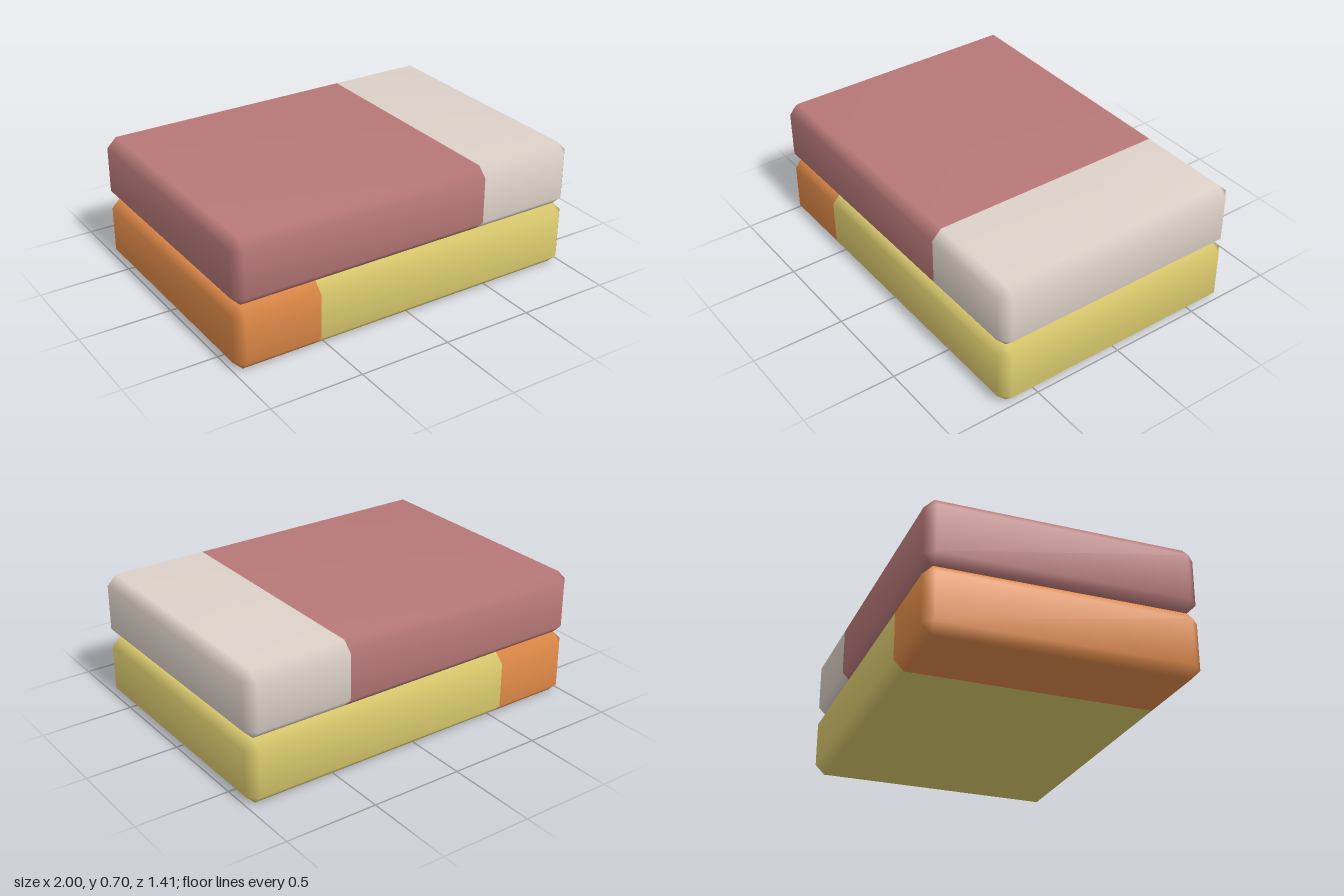
import * as THREE from 'three';

const HALF_X = 1, HALF_Y = 0.17625, HALF_Z = 0.705, BEVEL = 0.052;

const flat = (name, color) => {
  const m = new THREE.MeshStandardMaterial({ color });
  m.name = name;
  return m;
};

// Bevelled slab with shared smooth normals, two-coloured either side of splitX
function bevelledSlab(splitX) {
  const y = HALF_Y - BEVEL, z = HALF_Z - BEVEL;
  const corners = [[y, z], [-y, z], [-y, -z], [y, -z]];
  const octagon = [
    [HALF_Y, z], [y, HALF_Z], [-y, HALF_Z], [-HALF_Y, z],
    [-HALF_Y, -z], [-y, -HALF_Z], [y, -HALF_Z], [HALF_Y, -z],
  ];
  const positions = [], index = [];
  // Adds a cross-section and returns the vertex index at each octagon corner
  const ring = (x, points) => {
    const start = positions.length / 3;
    points.forEach(([py, pz]) => positions.push(x, py, pz));
    return octagon.map((_, i) => start + (points.length === 4 ? i >> 1 : i));
  };
  const tri = (a, b, c) => {
    if (a !== b && b !== c && c !== a) index.push(a, b, c);
  };
  const rings = [
    ring(-HALF_X, corners),
    ring(-HALF_X + BEVEL, octagon),
    ring(splitX, octagon),
    ring(HALF_X - BEVEL, octagon),
    ring(HALF_X, corners),
  ];

  // Right end cap, then the bands, then the left end cap
  const [e, f] = [rings[0], rings[4]];
  tri(e[0], e[4], e[2]);
  tri(e[0], e[6], e[4]);
  let splitStart = 0;
  for (let r = 0; r < 4; r++) {
    if (r === 2) splitStart = index.length;
    const a = rings[r], b = rings[r + 1];
    for (let i = 0; i < 8; i++) {
      const j = (i + 1) % 8;
      tri(a[i], a[j], b[j]);
      tri(a[i], b[j], b[i]);
    }
  }
  tri(f[0], f[2], f[4]);
  tri(f[0], f[4], f[6]);

  const geometry = new THREE.BufferGeometry();
  geometry.setAttribute('position', new THREE.Float32BufferAttribute(positions, 3));
  geometry.setIndex(index);
  geometry.addGroup(0, splitStart, 0);
  geometry.addGroup(splitStart, index.length - splitStart, 1);
  geometry.computeVertexNormals();
  return geometry;
}

export function createModel() {
  const model = new THREE.Group();
  model.name = 'stackedSlabs';
  const slabs = [
    ['lowerSlab', -0.54, flat('orange', 0xe08a48), flat('yellow', 0xdccb6e)],
    ['upperSlab', 0.43, flat('dustyRed', 0xb87878), flat('beige', 0xddd2c8)],
  ];
  slabs.forEach(([name, splitX, rightColour, leftColour], level) => {
    const slab = new THREE.Mesh(bevelledSlab(splitX), [rightColour, leftColour]);
    slab.name = name;
    slab.position.y = HALF_Y * (2 * level + 1);
    model.add(slab);
  });
  return model;
}
